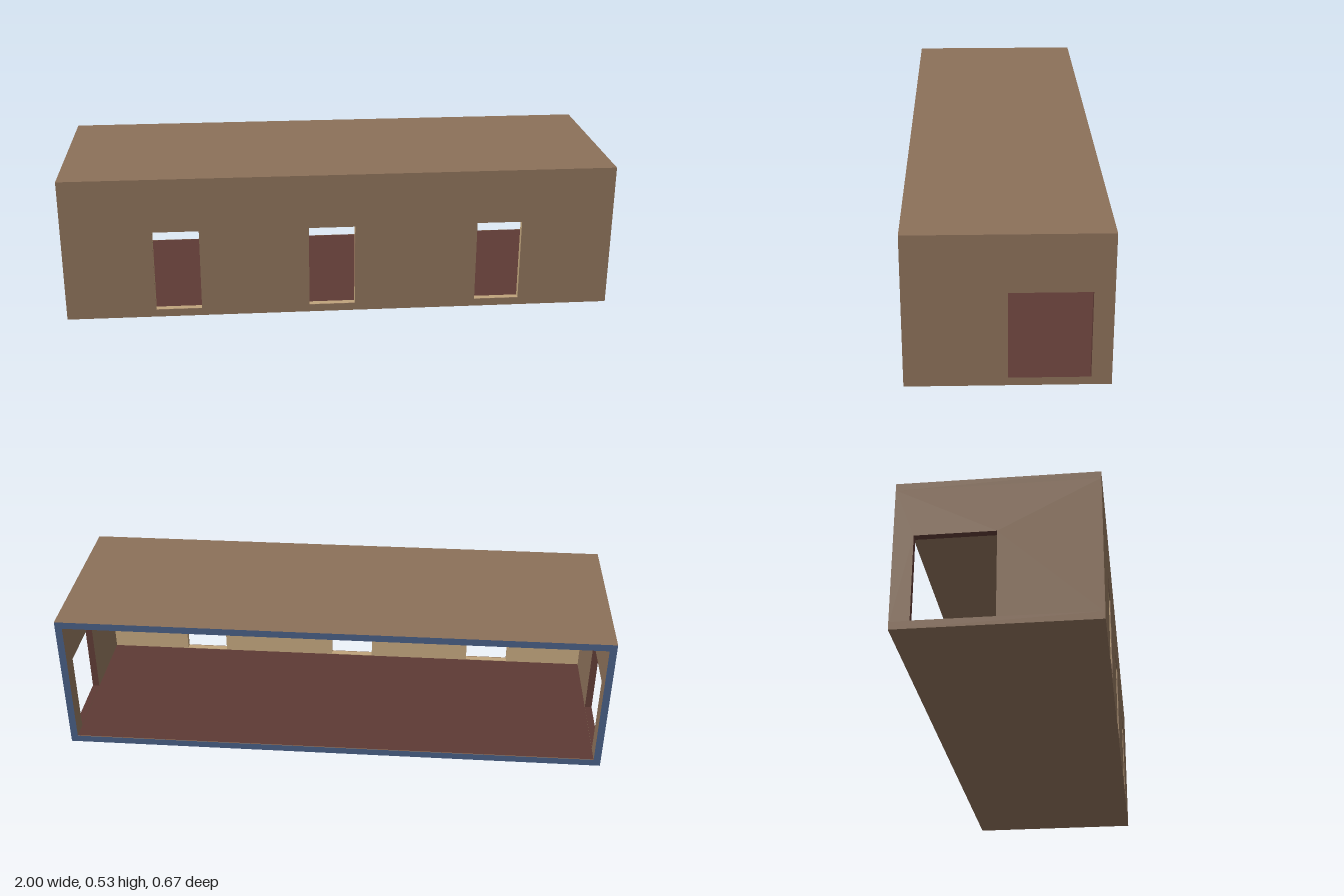
import * as THREE from 'three';

const W = 2, H = 0.533, D = 0.667;   // overall size
const T = 0.026;                     // panel thickness
const S = 0.003;                     // thin outer skin and rim
const SILL = 0.028, HEAD = 0.333;    // opening heights

const mat = (name, color, extra = {}) => {
  const m = new THREE.MeshStandardMaterial({ color, ...extra });
  m.name = name;
  return m;
};

const corners = (x0, x1, y0, y1) =>
  [[x0, y0], [x1, y0], [x1, y1], [x0, y1]].map(([x, y]) => new THREE.Vector2(x, y));

// Rectangular panel with rectangular openings, each given as [x0, x1, y0, y1]
function panel(name, outer, openings, depth, materials) {
  const shape = new THREE.Shape(corners(...outer));
  for (const o of openings) shape.holes.push(new THREE.Path(corners(...o).reverse()));
  const mesh = new THREE.Mesh(
    new THREE.ExtrudeGeometry(shape, { depth, bevelEnabled: false }), materials);
  mesh.name = name;
  return mesh;
}

export function createModel() {
  const group = new THREE.Group();
  group.name = 'openBackBuilding';

  const brown = mat('wallBrown', 0x8b7059);
  const tan = mat('innerTan', 0xbfa37b);
  const red = mat('floorRedBrown', 0x5d3a34);
  const blue = mat('rimBlue', 0x465b80);

  // Roof and floor slabs
  const slab = (name, y, materials) => {
    const mesh = new THREE.Mesh(new THREE.BoxGeometry(W, T, D - 2 * S), materials);
    mesh.name = name;
    mesh.position.y = y;
    group.add(mesh);
  };
  slab('roof', H - T / 2, brown);
  slab('floor', T / 2, [brown, brown, red, brown, brown, brown]);

  // Front wall: outer skin over an inner lining, with three window openings
  const windows = [[-0.677, -0.51], [-0.115, 0.053], [0.5, 0.665]]
    .map(([a, b]) => [a, b, SILL, HEAD]);
  const skin = panel('frontWallSkin', [-W / 2, W / 2, 0, H], windows, S, brown);
  skin.position.z = D / 2 - S;
  const lining = panel('frontWallLining', [-W / 2 + T, W / 2 - T, T, H - T], windows, T - S, tan);
  lining.position.z = D / 2 - T;
  group.add(skin, lining);

  // End walls, each with a doorway towards the back
  for (const side of [-1, 1]) {
    const wall = panel(side > 0 ? 'leftEndWall' : 'rightEndWall',
      [-D / 2 + S, D / 2 - S, T, H - T], [[0, 0.267, SILL, HEAD]], T, [brown, red]);
    wall.rotation.y = Math.PI / 2;      // shape x runs along -z
    wall.position.x = side > 0 ? W / 2 - T : -W / 2;
    group.add(wall);

    // Strips closing the end faces flush with roof and floor
  }

  // Coloured rim around the open back
  const rim = panel('backRim', [-W / 2, W / 2, 0, H],
    [[-W / 2 + T, W / 2 - T, T, H - T]], S, [blue, brown]);
  rim.position.z = -D / 2;
  group.add(rim);

  return group;
}
